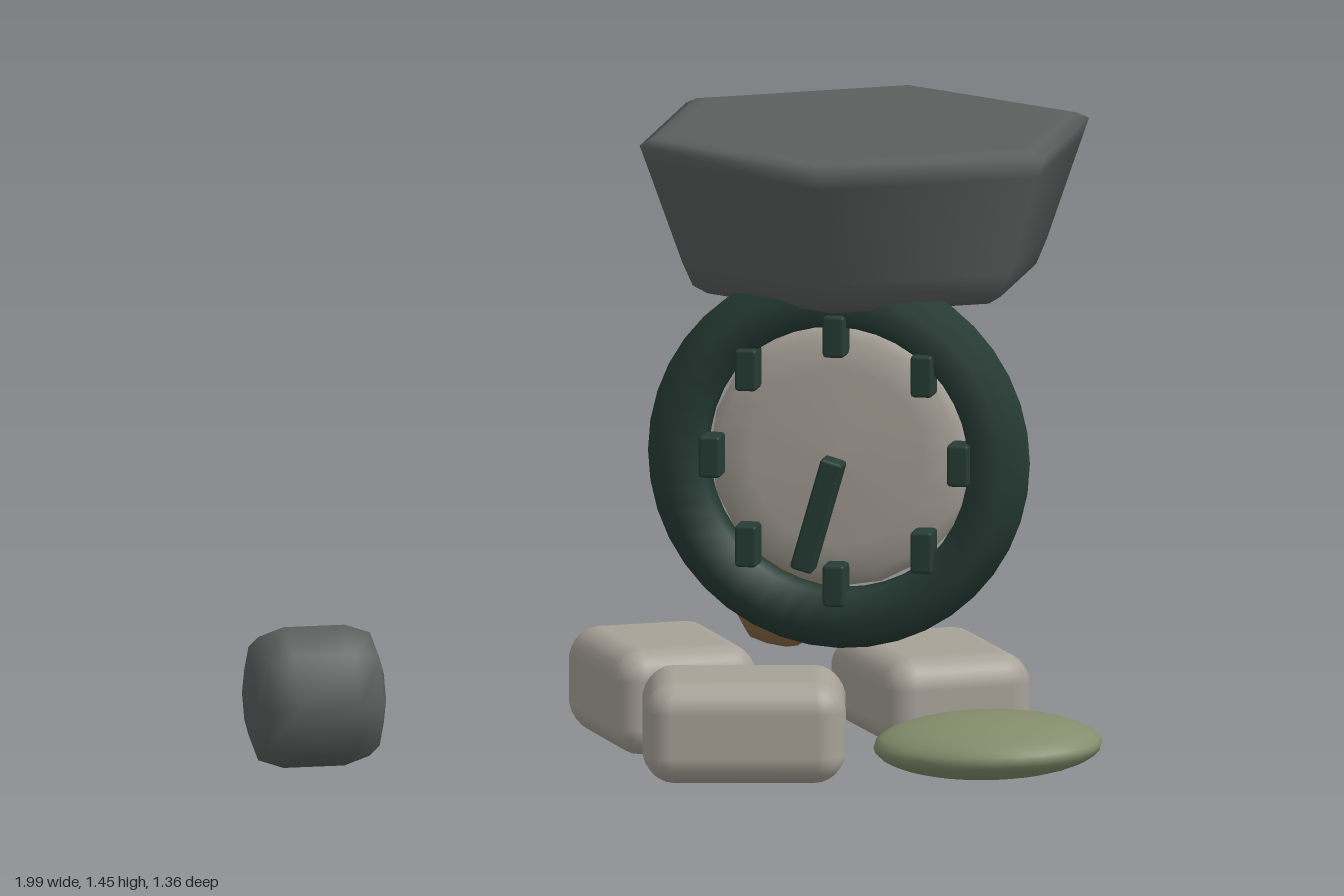
import * as THREE from 'three';
import { RoundedBoxGeometry } from 'three/addons/geometries/RoundedBoxGeometry.js';

const mat = (name, color) => Object.assign(new THREE.MeshStandardMaterial({ color }), { name });

// Closed solid of revolution from [radius, height] pairs, bottom to top
const lathe = (pts, sides) =>
  new THREE.LatheGeometry(pts.map(([r, y]) => new THREE.Vector2(r, y)), sides);

export function createModel() {
  const slate = mat('slate', 0x5b5f5d);
  const stone = mat('pale stone', 0xa8a298);
  const green = mat('dark green', 0x263c34);
  const wood = mat('wood', 0x8a6c45);
  const moss = mat('moss', 0x848d6c);

  const model = new THREE.Group();
  model.name = 'dialCairn';
  const add = (name, geometry, material, x, y, z, parent = model) => {
    const mesh = new THREE.Mesh(geometry, material);
    mesh.name = name;
    mesh.position.set(x, y, z);
    parent.add(mesh);
    return mesh;
  };

  // Hexagonal block on top, widening upward, with bevelled rims
  add('hexBlock', lathe([
    [0, 0], [0.33, 0], [0.37, 0.005], [0.405, 0.025], [0.43, 0.08],
    [0.515, 0.31], [0.53, 0.35], [0.5, 0.364], [0.46, 0.37], [0, 0.37],
  ], 6), slate, 0.33, 1.08, -0.155);

  // Leaning post with chamfered ends
  const h = 0.405;
  add('post', lathe([
    [0, -h], [0.06, -h], [0.102, -h + 0.045], [0.103, -h + 0.09],
    [0.103, h - 0.09], [0.102, h - 0.045], [0.06, h], [0, h],
  ], 8), wood, 0.215, 0.665, -0.152).rotation.z = -0.235;

  // Dial: ring, stone face, hour marks and hand
  const dial = new THREE.Group();
  dial.name = 'dial';
  dial.position.set(0.325, 0.74, 0.11);
  model.add(dial);
  add('dialRing', new THREE.TorusGeometry(0.362, 0.073, 5, 40), green, 0, 0, 0, dial);
  add('dialFace', lathe([
    [0, -0.095], [0.2, -0.09], [0.26, -0.08], [0.297, -0.05],
    [0.297, -0.02], [0.27, 0.005], [0.2, 0.015], [0, 0.02],
  ], 20), stone, 0, 0, 0, dial).rotation.x = Math.PI / 2;
  for (let i = 0; i < 8; i++) {
    const a = (i * Math.PI) / 4;
    add('hourMark', new RoundedBoxGeometry(0.05, 0.095, 0.07, 1, 0.008), green,
      0.283 * Math.sin(a), 0.283 * Math.cos(a), 0.033, dial);
  }
  add('dialHand', new RoundedBoxGeometry(0.052, 0.262, 0.06, 1, 0.008), green,
    -0.035, -0.122, 0.06, dial).rotation.z = -0.28;

  // Base stones laid in a triangle: x, y, z, length, height, width, turn
  for (const [x, y, z, l, t, w, turn] of [
    [0.12, 0.135, 0.165, 0.47, 0.23, 0.35, 0.2],
    [-0.16, 0.12, -0.31, 0.44, 0.24, 0.35, 2.08],
    [0.445, 0.135, -0.34, 0.47, 0.21, 0.36, -1.04],
  ]) {
    const g = new RoundedBoxGeometry(l, t, w, 3, 0.065);
    const p = g.attributes.position;
    // Narrow the stone toward top and bottom
    for (let i = 0; i < p.count; i++) {
      const k = 1 - 0.08 * Math.abs(p.getY(i)) / (t / 2);
      p.setX(i, p.getX(i) * k);
      p.setZ(i, p.getZ(i) * k);
    }
    add('baseStone', g, stone, x, y, z).rotation.y = turn;
  }

  // Dark barrel-shaped stone lying on its side
  const barrel = lathe([
    [0, -0.15], [0.08, -0.147], [0.14, -0.128], [0.16, -0.07],
    [0.16, 0.07], [0.14, 0.128], [0.08, 0.147], [0, 0.15],
  ], 8).rotateZ(Math.PI / 2);
  add('darkStone', barrel, slate, -0.82, 0.2, 0.365).rotation.y = 0.42;

  // Flat mossy pebble
  const pebble = new THREE.SphereGeometry(1, 28, 18).scale(0.258, 0.068, 0.203);
  add('mossyPebble', pebble, moss, 0.737, 0.168, 0.475).rotation.set(0.04, 0, 0.03);

  return model;
}
